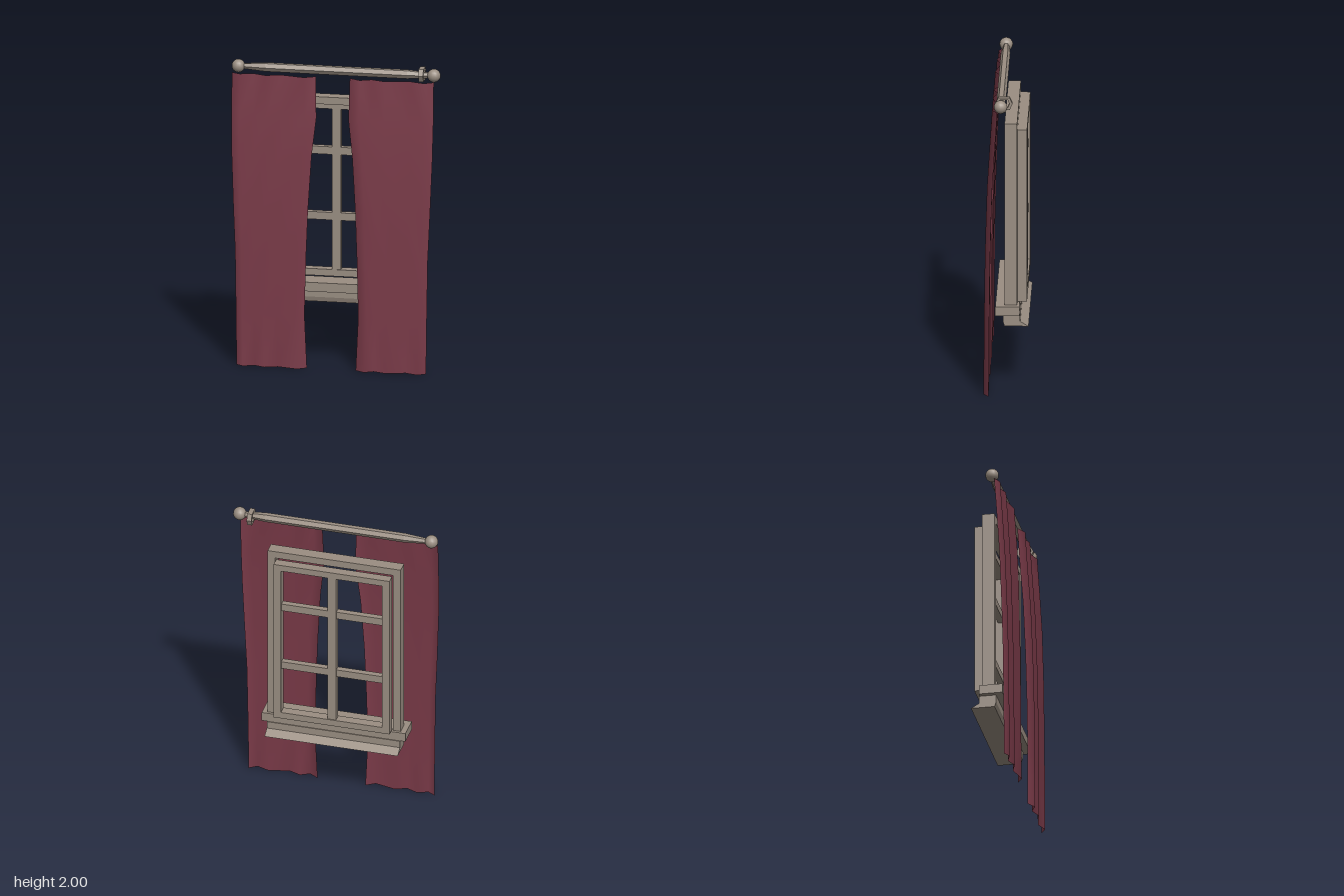
import * as THREE from 'three';

const wood = new THREE.MeshStandardMaterial({ color: 0x9a8e82, flatShading: true });
const woodSmooth = new THREE.MeshStandardMaterial({ color: 0x9a8e82 });
const cloth = new THREE.MeshStandardMaterial({ color: 0x7a3a48, side: THREE.DoubleSide });
const CX = -0.02; // window centre line

export function createModel() {
  const root = new THREE.Group();

  const add = (name, geometry, material = wood, parent = root) => {
    const mesh = new THREE.Mesh(geometry, material);
    mesh.name = name;
    parent.add(mesh);
    return mesh;
  };
  // box given by its extents
  const box = (name, x0, x1, y0, y1, z0, z1, parent) =>
    add(name, new THREE.BoxGeometry(x1 - x0, y1 - y0, z1 - z0), wood, parent)
      .position.set((x0 + x1) / 2, (y0 + y1) / 2, (z0 + z1) / 2);
  // outline in (z, y) extruded along x from x0 to x1
  const extrudeX = (outline, x0, x1, hole) => {
    const points = (list) => list.map(([z, y]) => new THREE.Vector2(-z, y));
    const shape = new THREE.Shape(points(outline));
    if (hole) shape.holes.push(new THREE.Path(points(hole)));
    return new THREE.ExtrudeGeometry(shape, { depth: x1 - x0, bevelEnabled: false })
      .rotateY(Math.PI / 2).translate(x0, 0, 0);
  };

  // Window: outer casing, sash and glazing bars
  const win = new THREE.Group();
  win.name = 'window';
  root.add(win);
  for (const s of [-1, 1]) {
    const side = (name, a, b, y0, y1, z0, z1) =>
      box(name, CX + Math.min(s * a, s * b), CX + Math.max(s * a, s * b), y0, y1, z0, z1, win);
    side('casingSide', 0.39, 0.44, 0.56, 1.775, -0.07, 0.01);
    side('sashStile', 0.335, 0.383, 0.566, 1.718, -0.132, -0.07);
  }
  box('casingHead', CX - 0.39, CX + 0.39, 1.727, 1.775, -0.07, 0.01, win);
  box('sashTopRail', CX - 0.335, CX + 0.335, 1.675, 1.718, -0.132, -0.07, win);
  box('sashBottomRail', CX - 0.335, CX + 0.335, 0.566, 0.61, -0.132, -0.07, win);
  box('verticalBar', CX - 0.028, CX + 0.028, 0.61, 1.675, -0.125, -0.075, win);
  for (const y of [0.96, 1.395])
    box('horizontalBar', CX - 0.335, CX + 0.335, y - 0.025, y + 0.025, -0.12, -0.08, win);

  // Sill and the moulding below it
  box('sill', CX - 0.475, CX + 0.475, 0.498, 0.558, -0.085, 0.068, win);
  add('apron', extrudeX([[0.02, 0.498], [0.02, 0.45], [0.01, 0.418], [-0.143, 0.418],
    [-0.09, 0.45], [-0.09, 0.498]], CX - 0.44, CX + 0.44), wood, win);

  // Curtain rod with tapered ends, ball finials and a ring
  const rodProfile = [[0, -0.61], [0.018, -0.61], [0.03, -0.46], [0.03, 0.46], [0.018, 0.61], [0, 0.61]]
    .map(([r, y]) => new THREE.Vector2(r, y));
  add('curtainRod', new THREE.LatheGeometry(rodProfile, 6).rotateZ(Math.PI / 2))
    .position.set(0, 1.96, 0.028);
  for (const x of [-0.636, 0.631])
    add('finial', new THREE.SphereGeometry(0.043, 16, 10), woodSmooth).position.set(x, 1.96, 0.029);
  const ring = [[-0.045, 0], [-0.027, 0.041], [0.045, 0.041], [0.066, 0], [0.045, -0.041], [-0.027, -0.041]];
  const hole = ring.map(([z, y]) => [0.01 + (z - 0.01) * 0.65, y * 0.65]);
  add('rodRing', extrudeX(ring, 0.535, 0.566, hole)).position.y = 1.96;

  // Curtains: rows of [height, outer edge, inner edge, depth]; folds of [fraction across, depth]
  const rows = [[1.92, 0.654, 0.11, 0.05], [1.65, 0.654, 0.104, 0.068], [1.4, 0.65, 0.132, 0.083],
    [1.05, 0.637, 0.153, 0.094], [0.75, 0.624, 0.164, 0.1], [0.35, 0.618, 0.174, 0.104], [0, 0.614, 0.158, 0.106]];
  const folds = {
    right: [[0, 0], [0.1, 0.028], [0.26, 0.003], [0.41, 0.033], [0.59, 0.005], [0.87, 0.037], [1, 0]],
    left: [[0, 0], [0.11, 0.034], [0.29, 0.003], [0.57, 0.036], [0.74, 0.006], [0.87, 0.037], [1, 0]],
  };
  for (const [name, s] of [['right', -1], ['left', 1]]) {
    const cols = folds[name], n = cols.length;
    const position = [], index = [];
    rows.forEach(([y, outer, inner, z], i) => cols.forEach(([u, d], j) => {
      position.push(CX + s * (outer + (inner - outer) * u), y, z + d);
      if (i === 0 || j === 0) return;
      const c = i * n + j, a = c - n - 1, b = c - n, e = c - 1;
      if (s < 0) index.push(a, e, b, e, c, b);
      else index.push(a, b, e, e, b, c);
    }));
    const geometry = new THREE.BufferGeometry();
    geometry.setAttribute('position', new THREE.Float32BufferAttribute(position, 3));
    geometry.setIndex(index);
    geometry.computeVertexNormals();
    add(name + 'Curtain', geometry, cloth);
  }
  return root;
}
